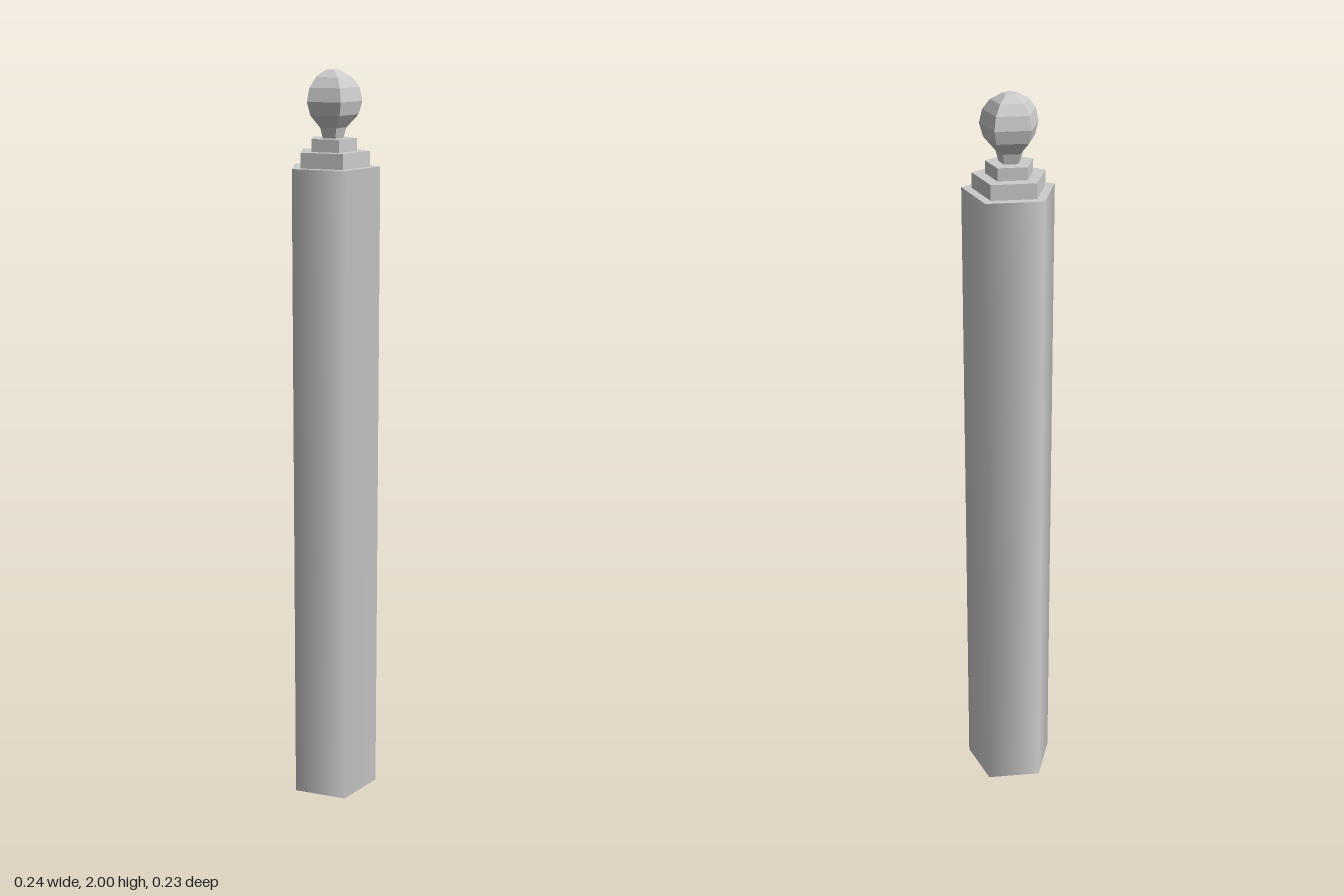
import * as THREE from 'three';

const SIDES = 5;
const TURN = -0.035; // slight twist of the pentagon
const CENTRE_Z = -0.012; // puts the pentagon's bounds on z = 0

export function createModel() {
  const post = new THREE.Group();
  post.name = 'post';

  const smooth = new THREE.MeshStandardMaterial({ color: 0xcccccc, side: THREE.DoubleSide });
  const faceted = new THREE.MeshStandardMaterial({ color: 0xcccccc, flatShading: true });

  const add = (name, geometry, material, y = 0) => {
    const mesh = new THREE.Mesh(geometry, material);
    mesh.name = name;
    mesh.position.set(0, y, CENTRE_Z);
    post.add(mesh);
  };
  const prism = (r, h, open = false) =>
    new THREE.CylinderGeometry(r, r, h, SIDES, 1, open, TURN);

  // Five-sided shaft, softly shaded and open underneath
  const shaftTop = 1.755;
  add('shaft', prism(0.125, shaftTop, true), smooth, shaftTop / 2);

  // Flat top of the shaft
  const cap = new THREE.CircleGeometry(0.125, SIDES, TURN - Math.PI / 2);
  cap.rotateX(-Math.PI / 2);
  // Circle angles run from +x towards -z, so realign a corner with the shaft
  cap.rotateY(2 * TURN * -1 + 2 * TURN + TURN - (TURN));
  add('shaftTop', cap, faceted, shaftTop);
  post.children[1].rotation.y = 0;

  // Two stepped tiers
  add('lowerTier', prism(0.098, 0.04), faceted, 1.775);
  add('upperTier', prism(0.064, 0.033), faceted, 1.8115);

  // Ball finial on a flared neck
  const profile = [
    [0.029, 1.828], [0.037, 1.855], [0.068, 1.888], [0.078, 1.922],
    [0.07, 1.957], [0.05, 1.983], [0.019, 2], [0, 2],
  ].map(([r, y]) => new THREE.Vector2(r, y));
  add('finial', new THREE.LatheGeometry(profile, SIDES, TURN), faceted);

  return post;
}
